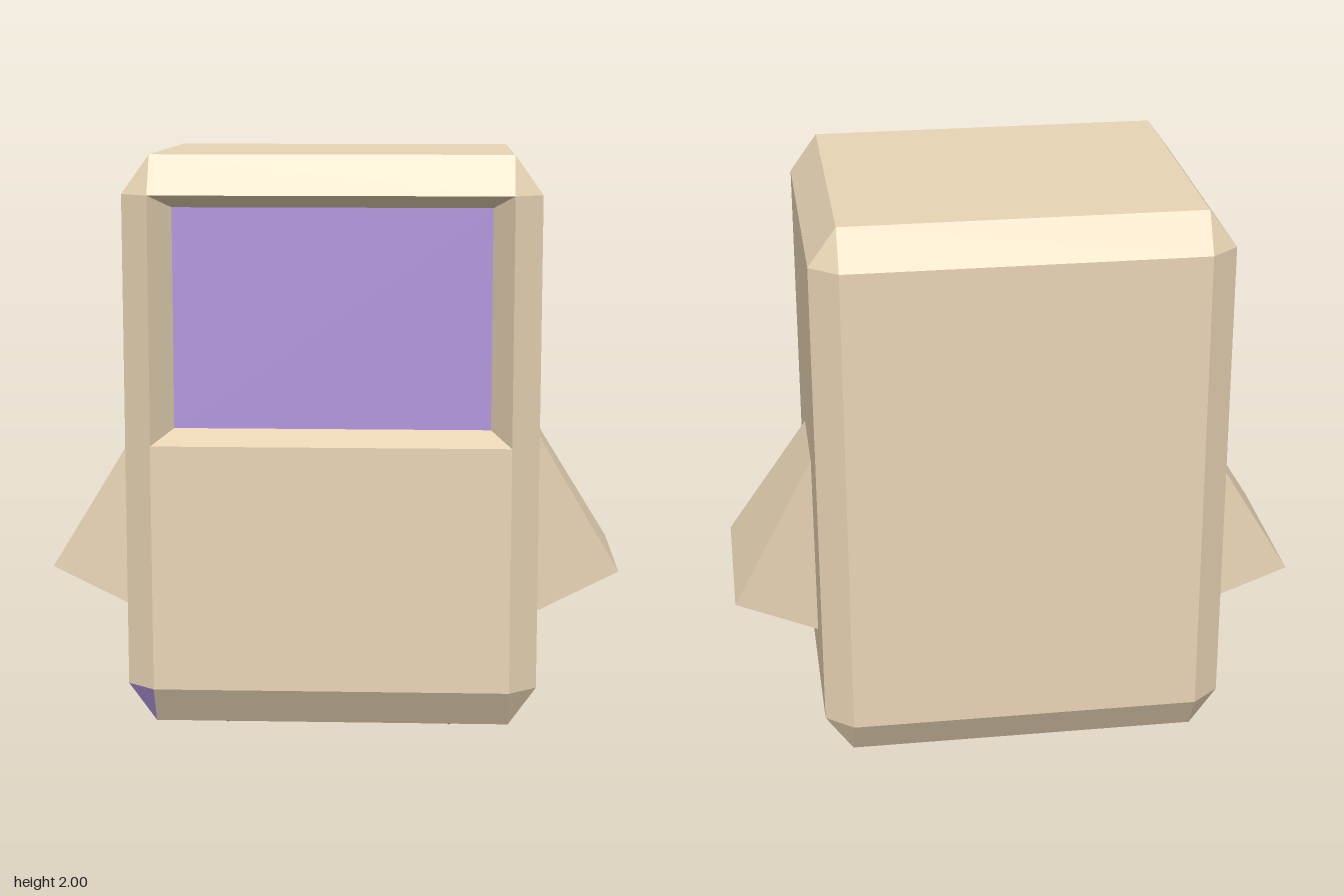
import * as THREE from 'three';
import { ConvexGeometry } from 'three/addons/geometries/ConvexGeometry.js';

const V = (x, y, z) => new THREE.Vector3(x, y, z);
const mat = (color) => new THREE.MeshStandardMaterial({ color, flatShading: true });

// Flat convex polygons, each wound to face its given direction
function facesGeometry(faces) {
  const pos = [];
  for (const { pts, dir } of faces) {
    const n = V(0, 0, 0).crossVectors(pts[1].clone().sub(pts[0]), pts[2].clone().sub(pts[0]));
    const p = n.dot(dir) < 0 ? [...pts].reverse() : pts;
    for (let i = 1; i < p.length - 1; i++) {
      for (const v of [p[0], p[i], p[i + 1]]) pos.push(v.x, v.y, v.z);
    }
  }
  const g = new THREE.BufferGeometry();
  g.setAttribute('position', new THREE.Float32BufferAttribute(pos, 3));
  g.computeVertexNormals();
  return g;
}

export function createModel() {
  const group = new THREE.Group();
  const tan = mat(0xe8d4b4);
  const purple = mat(0xb094dc);
  const add = (name, geo, material) => {
    const m = new THREE.Mesh(geo, material);
    m.name = name;
    group.add(m);
    return m;
  };

  // Chamfered body: outer half sizes and where the flats end
  const outer = [0.665, 0.9225, 0.552];
  const flat = [0.575, 0.7975, 0.478];
  const midY = 1.0775;
  // Corner lying on the flat of one axis
  const corner = (axis, s) => {
    const c = s.map((k, i) => k * (i === axis ? outer[i] : flat[i]));
    return V(c[0], c[1] + midY, c[2]);
  };
  const signs = [-1, 1];
  const body = [];
  const accent = [];

  for (let a = 0; a < 3; a++) {
    const b = (a + 1) % 3, c = (a + 2) % 3;
    const s3 = (sa, sb, sc) => {
      const s = [0, 0, 0];
      s[a] = sa; s[b] = sb; s[c] = sc;
      return s;
    };
    for (const sa of signs) {
      // Main flats, except the front
      if (!(a === 2 && sa === 1)) {
        body.push({
          pts: [[-1, -1], [1, -1], [1, 1], [-1, 1]].map(([p, q]) => corner(a, s3(sa, p, q))),
          dir: V(...s3(sa, 0, 0)),
        });
      }
      // Edge chamfers between axes a and b
      for (const sb of signs) {
        const lo = s3(sa, sb, -1), hi = s3(sa, sb, 1);
        body.push({
          pts: [corner(a, lo), corner(b, lo), corner(b, hi), corner(a, hi)],
          dir: V(...s3(sa, sb, 0)),
        });
      }
    }
  }
  // Corner triangles, one of them coloured
  for (const x of signs) for (const y of signs) for (const z of signs) {
    const s = [x, y, z];
    const list = x < 0 && y < 0 && z > 0 ? accent : body;
    list.push({ pts: [0, 1, 2].map((a) => corner(a, s)), dir: V(x, y, z) });
  }

  // Front panel below the window, and the sloping window frame
  const rect = (w, y0, y1, z) => [V(-w, y0, z), V(w, y0, z), V(w, y1, z), V(-w, y1, z)];
  const front = V(0, 0, 1);
  const zF = outer[2], sill = 1.08;
  body.push({ pts: rect(flat[0], midY - flat[1], sill, zF), dir: front });
  const rim = rect(flat[0], sill, midY + flat[1], zF);
  const inner = rect(0.51, 1.122, 1.832, zF - 0.11);
  for (let i = 0; i < 4; i++) {
    const j = (i + 1) % 4;
    body.push({ pts: [rim[i], rim[j], inner[j], inner[i]], dir: front });
  }
  add('body', facesGeometry(body), tan);
  add('screen', facesGeometry([{ pts: inner, dir: front }]), purple);
  add('cornerAccent', facesGeometry(accent), purple);

  // Flared wedge arms: x, y and half depth at root top, tip and root bottom
  const armProfile = [[0.63, 1.138, 0.146], [0.94, 0.625, 0.285], [0.63, 0.439, 0.184]];
  for (const side of signs) {
    const pts = armProfile.flatMap(([x, y, z]) => [V(side * x, y, z), V(side * x, y, -z)]);
    add(side > 0 ? 'leftArm' : 'rightArm', new ConvexGeometry(pts), tan);
  }

  // Faceted feet: a bottom point, two staggered rings and a top point
  const footPts = [V(0, 0.005, 0), V(0, 0.26, 0)];
  for (let i = 0; i < 5; i++) {
    for (const [r, y, off] of [[0.125, 0.065, 0], [0.155, 0.2, Math.PI / 5]]) {
      const t = (i * 2 * Math.PI) / 5 + off - 0.3;
      footPts.push(V(r * Math.sin(t), y, r * Math.cos(t)));
    }
  }
  for (const side of signs) {
    add(side > 0 ? 'leftFoot' : 'rightFoot', new ConvexGeometry(footPts), purple)
      .position.x = side * 0.387;
  }

  return group;
}
